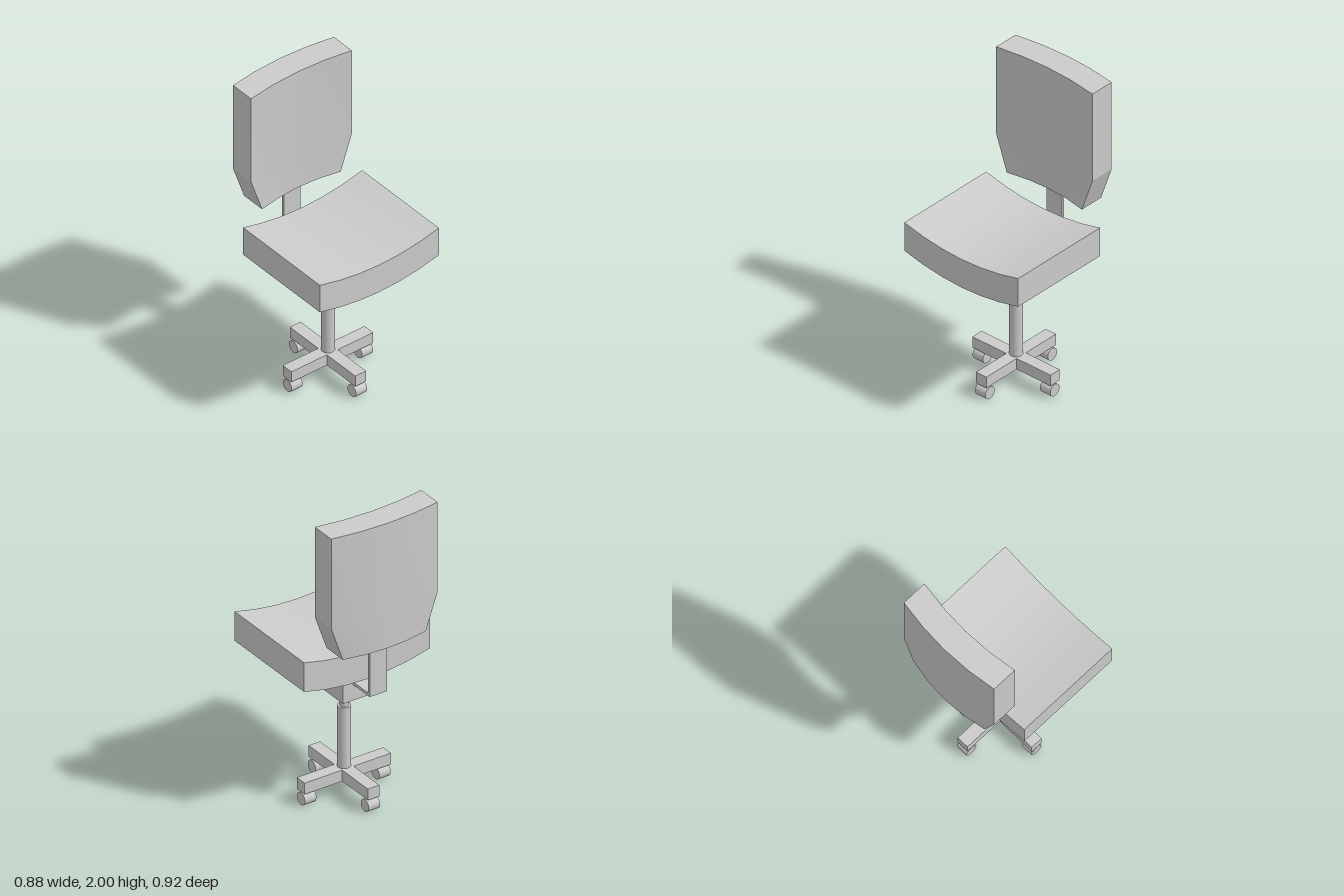
import * as THREE from 'three';
import { toCreasedNormals } from 'three/addons/utils/BufferGeometryUtils.js';

const material = new THREE.MeshStandardMaterial({ color: 0xcccccc });

function add(parent, name, geometry, x = 0, y = 0, z = 0) {
  const mesh = new THREE.Mesh(geometry, material);
  mesh.name = name;
  mesh.position.set(x, y, z);
  parent.add(mesh);
  return mesh;
}

// Box given by its lower and upper corners
function addBox(parent, name, [x0, y0, z0], [x1, y1, z1]) {
  return add(parent, name, new THREE.BoxGeometry(x1 - x0, y1 - y0, z1 - z0),
    (x0 + x1) / 2, (y0 + y1) / 2, (z0 + z1) / 2);
}

// Outline of a cushion of even thickness, bent by `sag` towards its sides
function bentOutline(half, base, sag, thickness, segments) {
  const lower = [], upper = [];
  for (let i = 0; i <= segments; i++) {
    const t = (i / segments) * 2 - 1;
    const y = base + sag * t * t;
    lower.push(new THREE.Vector2(half * t, y));
    upper.unshift(new THREE.Vector2(half * t, y + thickness));
  }
  return new THREE.Shape([...lower, ...upper]);
}

function seatGeometry() {
  const shape = bentOutline(0.44, 0.855, 0.06, 0.195, 6);
  const geometry = new THREE.ExtrudeGeometry(shape, { depth: 0.71, bevelEnabled: false });
  geometry.translate(0, 0, -0.25);
  return toCreasedNormals(geometry, 0.22);
}

function backrestGeometry() {
  const shape = bentOutline(0.372, 0.295, -0.035, 0.167, 4);
  const geometry = new THREE.ExtrudeGeometry(shape, { depth: 2, steps: 2, bevelEnabled: false });
  geometry.rotateX(-Math.PI / 2);
  // Three levels: narrow lower edge, shoulder, top
  const heights = [1.165, 1.4, 2], widths = [0.78, 1, 1];
  const p = geometry.attributes.position;
  for (let i = 0; i < p.count; i++) {
    const level = Math.round(p.getY(i));
    p.setX(i, p.getX(i) * widths[level]);
    p.setY(i, heights[level]);
  }
  return toCreasedNormals(geometry, 0.22);
}

// Cross-shaped foot, extruded upwards
function crossGeometry(reach, half, height) {
  const shape = new THREE.Shape();
  const corners = [[reach, -half], [reach, half], [half, half]];
  for (let k = 0; k < 4; k++) {
    const c = [1, 0, -1, 0][k], s = [0, 1, 0, -1][k];
    for (const [x, y] of corners) {
      const px = x * c - y * s, py = x * s + y * c;
      if (shape.curves.length || shape.started) shape.lineTo(px, py);
      else { shape.moveTo(px, py); shape.started = true; }
    }
  }
  shape.closePath();
  const geometry = new THREE.ExtrudeGeometry(shape, { depth: height, bevelEnabled: false });
  return geometry.rotateX(-Math.PI / 2);
}

export function createModel() {
  const chair = new THREE.Group();
  chair.name = 'officeChair';
  const axisZ = -0.015;

  // Cushions
  add(chair, 'seat', seatGeometry());
  add(chair, 'backrest', backrestGeometry());

  // L-shaped backrest support
  const support = new THREE.Group();
  support.name = 'backrestSupport';
  chair.add(support);
  addBox(support, 'supportArm', [-0.06, 0.81, -0.365], [0.06, 0.83, -0.19]);
  addBox(support, 'supportPost', [-0.06, 0.83, -0.365], [0.06, 1.2, -0.345]);

  // Tilt mechanism and its lever
  addBox(chair, 'mechanism', [-0.13, 0.705, -0.195], [0.13, 0.845, 0.24]);
  add(chair, 'lever', new THREE.CylinderGeometry(0.008, 0.008, 0.18, 16), -0.212, 0.777, 0.105)
    .rotation.z = Math.PI / 2;

  // Gas lift
  add(chair, 'piston', new THREE.CylinderGeometry(0.025, 0.025, 0.16, 32), 0, 0.63, axisZ);
  add(chair, 'column', new THREE.CylinderGeometry(0.04, 0.04, 0.405, 32), 0, 0.3675, axisZ);

  // Foot with four casters, all rolling forwards
  add(chair, 'footCross', crossGeometry(0.302, 0.04, 0.075), 0, 0.09, axisZ);
  const caster = new THREE.CylinderGeometry(0.04, 0.04, 0.08, 32).rotateZ(Math.PI / 2);
  for (const [x, z] of [[0.26, 0], [-0.26, 0], [0, 0.27], [0, -0.27]]) {
    add(chair, 'caster', caster, x, 0.041, z + axisZ);
  }
  return chair;
}
